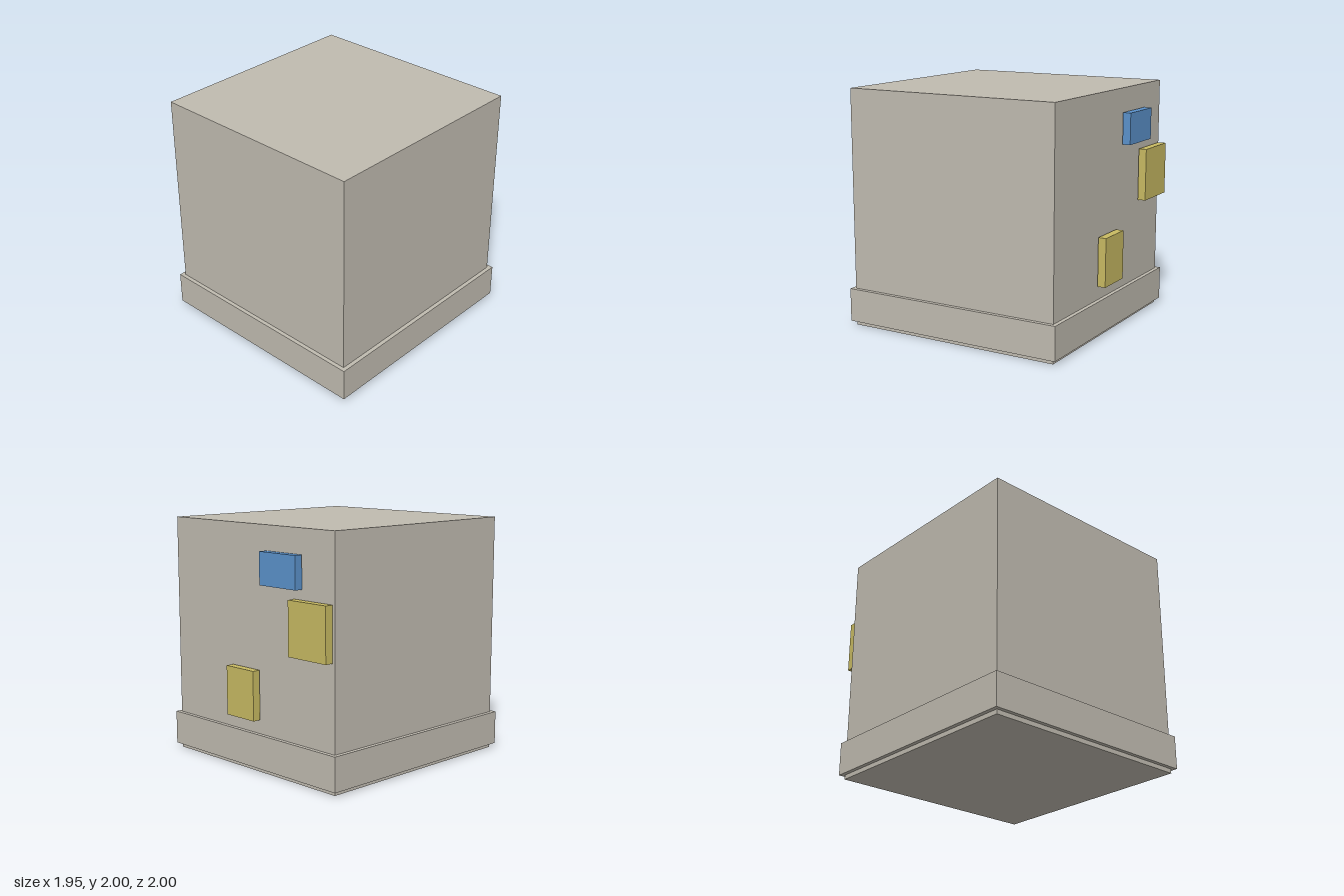
import * as THREE from 'three';

export function createModel() {
  const model = new THREE.Group();

  const material = (name, color) => {
    const m = new THREE.MeshStandardMaterial({ color });
    m.name = name;
    return m;
  };
  const stone = material('warm grey', 0xc0bbb0);
  const yellow = material('mustard yellow', 0xc8ba62);
  const blue = material('blue', 0x5b92cb);

  // Box given by its extents along each axis
  const addBox = (name, mat, [x0, x1], [y0, y1], [z0, z1]) => {
    const mesh = new THREE.Mesh(new THREE.BoxGeometry(x1 - x0, y1 - y0, z1 - z0), mat);
    mesh.position.set((x0 + x1) / 2, (y0 + y1) / 2, (z0 + z1) / 2);
    mesh.name = name;
    model.add(mesh);
  };

  // Main block and the wider band around its foot
  addBox('body', stone, [-0.942, 0.942], [0, 2], [-0.922, 0.966]);
  addBox('baseBand', stone, [-0.977, 0.977], [0.037, 0.318], [-0.956, 1]);

  // Panels mounted just off the back wall
  const panelDepth = [-1, -0.932];
  addBox('upperPanel', blue, [-0.6, -0.192], [1.537, 1.8], panelDepth);
  addBox('middlePanel', yellow, [-0.926, -0.516], [1.018, 1.457], panelDepth);
  addBox('lowerPanel', yellow, [-0.102, 0.224], [0.435, 0.843], panelDepth);

  return model;
}
